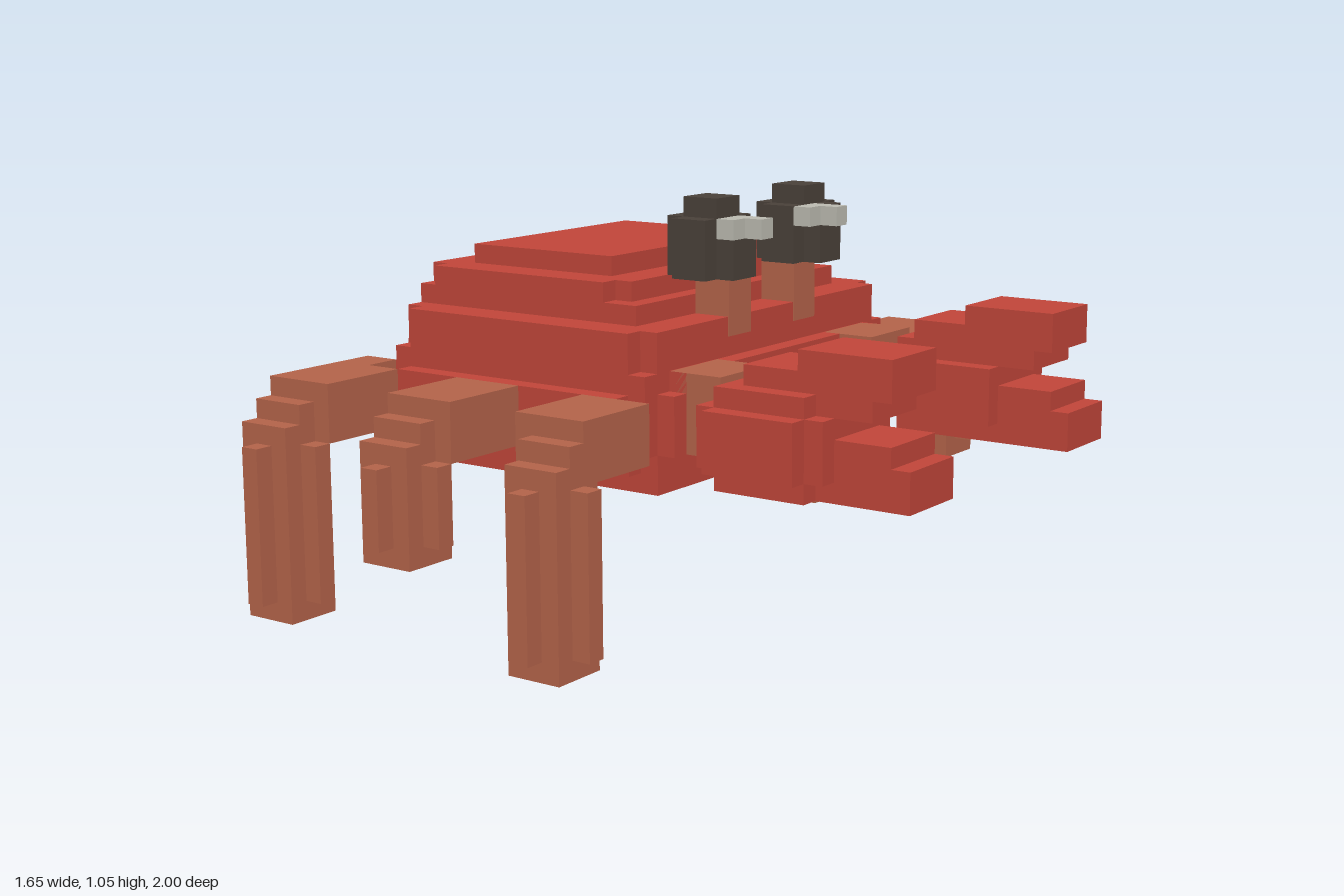
import * as THREE from 'three';

const mat = (name, color) => Object.assign(new THREE.MeshStandardMaterial({ color }), { name });

export function createModel() {
  const red = mat('shellRed', 0xc2463a);
  const brown = mat('limbBrown', 0xb5644a);
  const dark = mat('eyeDark', 0x4a413a);
  const pale = mat('eyeHighlight', 0xbdbcb2);

  const model = new THREE.Group();
  model.name = 'crab';
  const group = (name) => {
    const g = new THREE.Group();
    g.name = name;
    model.add(g);
    return g;
  };

  // One block given by its limits; z limits may come in either order
  const block = (parent, name, m, [x0, x1, y0, y1, z0, z1]) => {
    const mesh = new THREE.Mesh(new THREE.BoxGeometry(x1 - x0, y1 - y0, Math.abs(z1 - z0)), m);
    mesh.position.set((x0 + x1) / 2, (y0 + y1) / 2, (z0 + z1) / 2);
    mesh.name = name;
    parent.add(mesh);
  };

  // Shell: stacked layers with stepped corners
  const shell = group('shell');
  [
    [-0.625, 0.125, 0.35, 0.4, -0.5, 0.5],
    [-0.675, 0.125, 0.4, 0.45, -0.5, 0.5],
    [-0.625, 0.075, 0.4, 0.45, -0.55, 0.55],
    [-0.725, 0.175, 0.45, 0.6, -0.5, 0.5],
    [-0.675, 0.125, 0.45, 0.6, -0.55, 0.55],
    [-0.625, 0.075, 0.45, 0.6, -0.6, 0.6],
    [-0.725, 0.175, 0.6, 0.65, -0.45, 0.45],
    [-0.675, 0.125, 0.6, 0.65, -0.55, 0.55],
    [-0.675, 0.125, 0.65, 0.75, -0.5, 0.5],
    [-0.625, 0.075, 0.65, 0.75, -0.55, 0.55],
    [-0.675, 0.025, 0.75, 0.8, -0.45, 0.45],
    [-0.675, -0.025, 0.8, 0.85, -0.35, 0.4],
    [-0.625, -0.075, 0.8, 0.85, -0.4, 0.45],
    [-0.575, -0.125, 0.85, 0.9, -0.3, 0.35],
  ].forEach((b) => block(shell, 'shellLayer', red, b));

  // Legs: thigh, knee and a shin with two thin ridges; alternate feet are raised
  const legX = [-0.825, -0.425, 0.025];
  for (const side of [1, -1]) {
    legX.forEach((x, i) => {
      const leg = group((side > 0 ? 'front' : 'back') + 'Leg' + (i + 1));
      const raised = side > 0 ? i === 1 : i !== 1;
      const foot = raised ? 0.2 : 0;
      const far = side > 0 ? 0.95 : 1.0;
      const near = far - 0.15;
      const thighX = i === 2 ? x - 0.05 : x;
      const root = i === 0 ? 0.5 : 0.6;
      const add = (name, x0, x1, y0, y1, z0, z1) =>
        block(leg, name, brown, [x0, x1, y0, y1, side * z0, side * z1]);
      if (i === 0) add('hip', x, x + 0.1, 0.45, 0.6, root, 0.6);
      add('thigh', thighX, thighX + 0.2, 0.45, 0.6, 0.6, 0.85);
      add('knee', x, x + 0.15, 0.45, 0.55, 0.8, side > 0 ? 0.9 : 0.95);
      add('shin', x, x + 0.15, foot, 0.5, near, far);
      add('sideRidge', x + 0.15, x + 0.2, foot + 0.05, 0.45, near + 0.05, near + 0.1);
      // Ridge always faces the front
      if (side > 0) add('frontRidge', x + 0.05, x + 0.1, foot + 0.05, 0.45, 0.95, 1);
      else add('frontRidge', x + 0.05, x + 0.1, foot + 0.05, 0.45, 0.8, 0.85);
    });
  }

  // Claws: arm, stepped palm, two open jaws
  for (const side of [1, -1]) {
    const claw = group(side > 0 ? 'frontClaw' : 'backClaw');
    const add = (name, m, x0, x1, y0, y1, z0, z1) =>
      block(claw, name, m, [x0, x1, y0, y1, side * z0, side * z1]);
    add('arm', brown, 0.127, 0.275, 0.45, 0.65, 0.25, 0.45);
    add('wrist', red, 0.275, 0.325, 0.45, 0.6, 0.25, 0.55);
    add('palm', red, 0.325, 0.575, 0.4, 0.65, 0.3, 0.55);
    add('palmMiddle', red, 0.325, 0.625, 0.45, 0.6, 0.25, 0.55);
    add('palmSide', red, 0.325, 0.575, 0.45, 0.6, 0.55, 0.6);
    add('upperJawRoot', red, 0.375, 0.725, 0.6, 0.65, 0.3, 0.5);
    add('upperJaw', red, 0.375, 0.775, 0.65, 0.7, 0.3, 0.5);
    add('upperJawTip', red, 0.525, 0.775, 0.7, 0.75, 0.3, 0.5);
    add('lowerJaw', red, 0.575, 0.825, 0.4, 0.5, 0.3, 0.5);
    add('lowerJawTop', red, 0.575, 0.775, 0.5, 0.55, 0.3, 0.5);
  }

  // Eyes: stalk, cross-shaped ball, cap and a pale glint
  for (const side of [1, -1]) {
    const eye = group(side > 0 ? 'frontEye' : 'backEye');
    const c = side * 0.2;
    const add = (name, m, x0, x1, y0, y1, z0, z1) => block(eye, name, m, [x0, x1, y0, y1, z0, z1]);
    add('stalk', brown, 0.025, 0.127, 0.7, 0.85, side * 0.1, side * 0.2);
    add('eyeBall', dark, 0.025, 0.125, 0.85, 1, c - 0.1, c + 0.1);
    add('eyeBack', dark, -0.025, 0.025, 0.85, 1, c - 0.05, c + 0.05);
    add('eyeFront', dark, 0.125, 0.175, 0.85, 0.95, c - 0.05, c + 0.05);
    add('eyeCap', dark, 0.025, 0.125, 1, 1.05, c - 0.05, c + 0.05);
    const g = side > 0 ? 0.15 : -0.2;
    if (side < 0) add('eyeFrontTop', dark, 0.125, 0.175, 0.95, 1, -0.25, -0.2);
    add('glint', pale, 0.125, 0.175, 0.95, 1, g, g + 0.1);
    add('glintTip', pale, 0.175, 0.225, 0.95, 1, g, g + 0.05);
  }

  return model;
}
